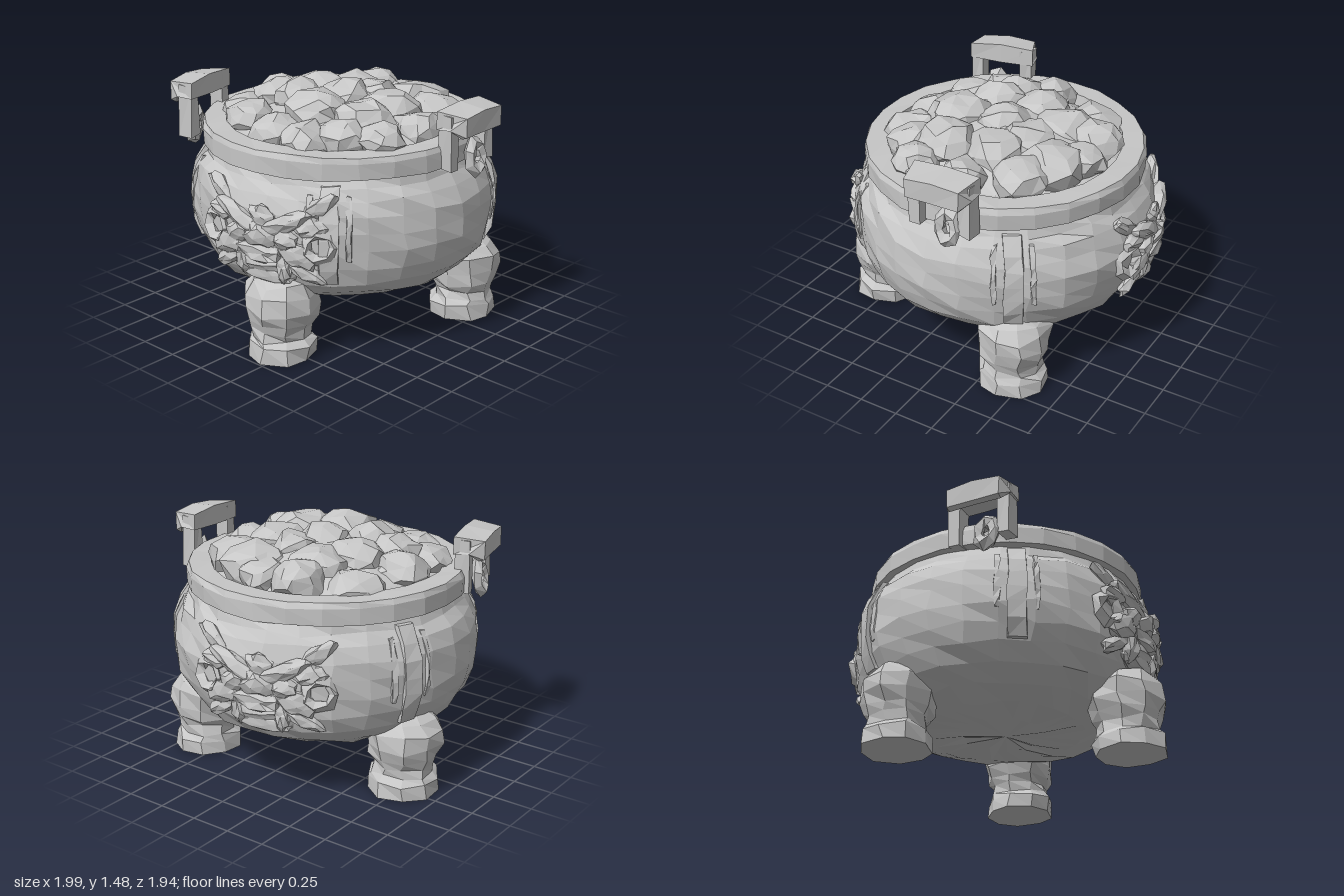
import * as THREE from 'three';

const stone = new THREE.MeshStandardMaterial({ color: 0xc6c6c6 });
stone.name = 'grey stone';
const CZ = -0.02; // vessel axis
const rad = (d) => (d * Math.PI) / 180;

// Repeatable noise in -1..1 from a position, so shared corners move together
function noise(x, y, z, s) {
  const r = (v) => Math.round(v * 1000) / 1000 + 0; // + 0 clears negative zero
  const n = Math.sin(r(x) * 127.1 + r(y) * 311.7 + r(z) * 74.7 + s * 53.3) * 43758.5453;
  return (n - Math.floor(n)) * 2 - 1;
}

// Roughen the surface and give every face its own flat normal
function chisel(geo, amount, seed = 1, fixedY = null) {
  const g = geo.index ? geo.toNonIndexed() : geo;
  const p = g.attributes.position;
  for (let i = 0; i < p.count; i++) {
    const [x, y, z] = [p.getX(i), p.getY(i), p.getZ(i)];
    const keepY = fixedY !== null && Math.abs(y - fixedY) < 1e-4;
    p.setXYZ(i,
      x + amount * noise(x, y, z, seed),
      keepY ? y : y + amount * noise(x, y, z, seed + 1),
      z + amount * noise(x, y, z, seed + 2));
  }
  g.computeVertexNormals();
  return g;
}

function part(parent, name, geo, x = 0, y = 0, z = 0) {
  const m = new THREE.Mesh(geo, stone);
  m.name = name;
  m.position.set(x, y, z);
  parent.add(m);
  return m;
}

const lathe = (pts, sides) => new THREE.LatheGeometry(pts.map(([r, y]) => new THREE.Vector2(r, y)), sides);

// Belly profile: radius, height
const BELLY = [[0, 0.262], [0.25, 0.265], [0.48, 0.275], [0.66, 0.325], [0.79, 0.4], [0.865, 0.49],
  [0.908, 0.59], [0.928, 0.7], [0.932, 0.81], [0.918, 0.91], [0.885, 1.0], [0.84, 1.06], [0.81, 1.12]];

function bellyRadius(y) {
  const i = BELLY.findIndex((p) => y <= p[1]);
  const [r0, y0] = BELLY[i - 1], [r1, y1] = BELLY[i];
  return r0 + ((r1 - r0) * (y - y0)) / (y1 - y0);
}

// Upright rib that follows the belly
function rib(parent, name, angle, width, proud, yLow, yHigh) {
  const s = new THREE.Shape();
  const n = 6;
  const at = (i) => yLow + ((yHigh - yLow) * i) / n;
  s.moveTo(bellyRadius(yLow) - 0.04, yLow);
  for (let i = 0; i <= n; i++) s.lineTo(bellyRadius(at(i)) + proud, at(i));
  for (let i = n; i > 0; i--) s.lineTo(bellyRadius(at(i)) - 0.04, at(i));
  const g = new THREE.ExtrudeGeometry(s, { depth: width, bevelEnabled: false });
  g.translate(0, 0, -width / 2);
  part(parent, name, chisel(g, 0.008, angle), 0, 0, CZ).rotation.y = -rad(angle);
}

// Carved beast mask, built from lumps lying on the belly
function mask(parent, angle) {
  const group = new THREE.Group();
  group.name = 'beastMask';
  group.position.z = CZ;
  parent.add(group);
  const put = (name, geo, t, y, roll) => {
    const pivot = new THREE.Group();
    pivot.rotation.y = -rad(angle) - t / 0.94;
    group.add(pivot);
    part(pivot, name, geo, bellyRadius(y), y, 0).rotation.x = roll;
  };
  const lump = (name, t, y, w, h, d, roll = 0) => {
    const g = chisel(new THREE.IcosahedronGeometry(1, 1), 0.2, t * 10 + y);
    g.scale(d, h, w);
    g.computeVertexNormals();
    put(name, g, t, y, roll);
  };
  lump('nose', 0, 0.78, 0.11, 0.08, 0.065);
  lump('forehead', 0, 0.89, 0.09, 0.07, 0.035);
  lump('upperLip', 0, 0.67, 0.16, 0.06, 0.06);
  lump('mouth', 0, 0.6, 0.14, 0.06, 0.04);
  lump('jaw', 0, 0.53, 0.2, 0.055, 0.055);
  for (const s of [-1, 1]) {
    lump('brow', s * 0.16, 0.87, 0.17, 0.055, 0.055, -s * 0.4);
    lump('horn', s * 0.35, 0.97, 0.13, 0.05, 0.04, -s * 0.6);
    lump('eye', s * 0.16, 0.77, 0.08, 0.06, 0.055);
    lump('cheek', s * 0.23, 0.68, 0.12, 0.08, 0.05, s * 0.4);
    lump('fang', s * 0.14, 0.59, 0.05, 0.09, 0.055);
    lump('whisker', s * 0.28, 0.57, 0.12, 0.05, 0.045, s * 0.5);
    lump('ear', s * 0.31, 0.86, 0.1, 0.06, 0.045, -s * 0.2);
    const curl = new THREE.TorusGeometry(0.085, 0.036, 4, 7);
    curl.rotateY(Math.PI / 2);
    put('curl', chisel(curl, 0.014, s), s * 0.36, 0.75, 0);
  }
}

// Square carrying handle with a hanging ring
function handle(parent, name, x, z, turn) {
  const g = new THREE.Group();
  g.name = name;
  g.position.set(x, 0, z);
  g.rotation.y = turn;
  parent.add(g);
  // Overhanging bar: a side profile with a drooping lip, swept across
  const s = new THREE.Shape();
  [[-0.1, 1.35], [0.0, 1.36], [0.045, 1.31], [0.08, 1.32], [0.08, 1.44], [-0.1, 1.455]]
    .forEach(([a, b], i) => (i ? s.lineTo(a, b) : s.moveTo(a, b)));
  const bar = new THREE.ExtrudeGeometry(s, { depth: 0.42, steps: 2, bevelEnabled: false });
  bar.translate(0, 0, -0.21);
  bar.rotateY(-Math.PI / 2);
  const p = bar.attributes.position;
  for (let i = 0; i < p.count; i++) {
    if (p.getZ(i) > 0.03) p.setX(i, p.getX(i) * 0.8); // narrower outer face
    if (Math.abs(p.getX(i)) < 0.01 && p.getY(i) > 1.4) p.setY(i, p.getY(i) + 0.012); // arched top
  }
  part(g, 'handleBar', chisel(bar, 0.006));
  for (const side of [-1, 1]) {
    const post = new THREE.BoxGeometry(0.08, 0.32, 0.1);
    part(g, 'handlePost', chisel(post, 0.008, side), side * 0.165, 1.27, -0.045);
  }
  const ring = new THREE.TorusGeometry(0.055, 0.036, 5, 7);
  ring.scale(1, 1.4, 1);
  part(g, 'handleRing', chisel(ring, 0.01, 4), 0.05, 1.14, -0.01).rotation.x = -0.2;
}

export function createModel() {
  const model = new THREE.Group();
  model.name = 'cauldron';

  part(model, 'belly', chisel(lathe(BELLY, 28), 0.014), 0, 0, CZ);
  part(model, 'rim', chisel(lathe([[0.79, 1.11], [0.855, 1.115], [0.855, 1.215], [0.84, 1.25],
    [0.71, 1.25], [0.69, 1.14]], 26), 0.005), -0.01, 0, CZ);

  // Mound closing the mouth beneath the rocks
  part(model, 'mound', chisel(lathe([[0.74, 1.18], [0.64, 1.22], [0.5, 1.3], [0.25, 1.37], [0, 1.4]], 14), 0.02),
    -0.01, 0, CZ);

  // Heaped rocks: x, z, radius
  const rocks = [[-0.31, -0.53, 0.16], [0, -0.56, 0.17], [0.33, -0.47, 0.2], [-0.17, -0.22, 0.16],
    [-0.46, -0.36, 0.15], [-0.55, -0.06, 0.16], [-0.3, 0.04, 0.2], [0.0, 0, 0.18], [0.29, -0.17, 0.21],
    [0.51, -0.2, 0.17], [-0.54, 0.19, 0.17], [-0.42, 0.35, 0.16], [-0.21, 0.31, 0.19], [0.08, 0.27, 0.19],
    [0.43, 0.17, 0.22], [0.34, 0.4, 0.17], [0.03, 0.54, 0.15], [-0.29, 0.53, 0.14], [0.55, 0.04, 0.14],
    [0.08, -0.3, 0.18], [-0.15, -0.42, 0.15], [0.2, 0.07, 0.16]];
  rocks.forEach(([x, z, r], i) => {
    const g = chisel(new THREE.IcosahedronGeometry(r, 1), r * 0.16, i);
    g.scale(1, 0.75, 1);
    g.computeVertexNormals();
    const top = 1.48 - 0.33 * (x * x + z * z) + 0.02 * Math.sin(i * 2.3);
    part(model, 'rock', g, x, top - 0.75 * r, z).rotation.y = i;
  });

  // Three stout feet
  [[0.42, 0.61], [-0.77, 0.19], [0.2, -0.74]].forEach(([x, z], i) => {
    const g = lathe([[0, 0], [0.212, 0], [0.212, 0.09], [0.183, 0.12], [0.18, 0.18], [0.205, 0.23],
      [0.228, 0.31], [0.22, 0.4], [0.175, 0.47], [0.1, 0.51], [0, 0.53]], 9);
    part(model, 'foot', chisel(g, 0.015, i, 0), x, 0, z).rotation.y = i * 2.1;
  });

  // Ribs with thin carved lines on either side
  for (const a of [57, 143, 225, 292]) {
    rib(model, 'rib', a, 0.11, 0.018, 0.5, 1.08);
    for (const s of [-1, 1]) rib(model, 'ribLine', a + s * 7, 0.03, 0.01, 0.66, 1.03);
  }
  mask(model, -12);
  mask(model, 168);

  handle(model, 'frontHandle', 0.1, 0.885, 0.03);
  handle(model, 'backHandle', -0.48, -0.81, Math.atan2(-0.22, -0.97));
  return model;
}
